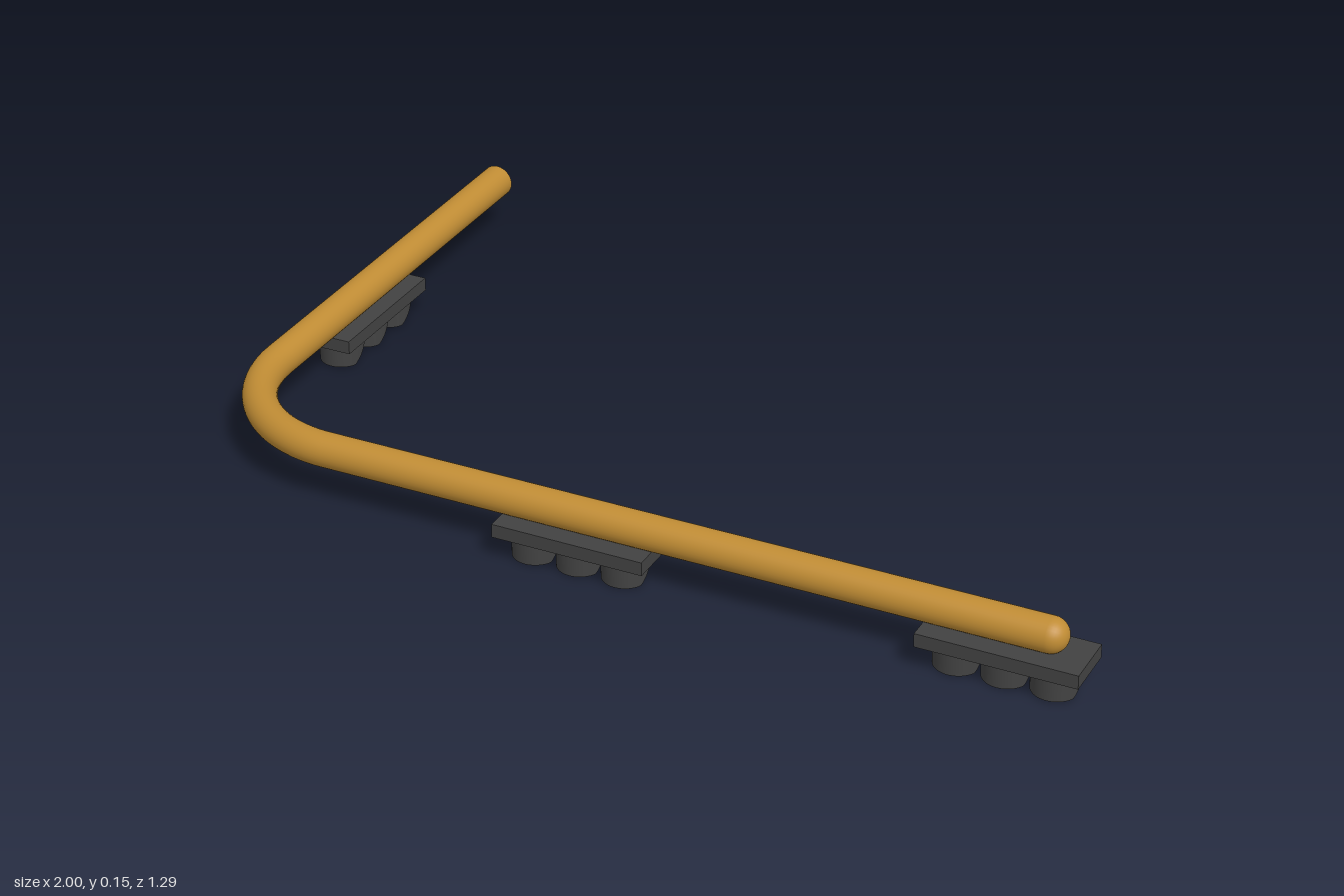
import * as THREE from 'three';

const mat = (name, color, side = THREE.FrontSide) => {
  const m = new THREE.MeshStandardMaterial({ color, side });
  m.name = name;
  return m;
};

const PIPE_Y = 0.114, PIPE_R = 0.037;
const LENS_R = 0.049, SPACING = 0.1;

function add(parent, name, geometry, material, x = 0, y = 0, z = 0) {
  const mesh = new THREE.Mesh(geometry, material);
  mesh.name = name;
  mesh.position.set(x, y, z);
  parent.add(mesh);
  return mesh;
}

// Hood: part of a cylinder wall, deep on the +z side and cut on a slant
function hoodGeometry() {
  const sweep = (Math.PI * 2) / 3;
  const geo = new THREE.CylinderGeometry(LENS_R, LENS_R, 1, 40, 1, true, -sweep, sweep * 2);
  const p = geo.attributes.position;
  for (let i = 0; i < p.count; i++) {
    const cut = THREE.MathUtils.clamp((0.021 - p.getZ(i)) * 0.93, 0, 0.046);
    p.setY(i, p.getY(i) > 0 ? 0.052 : cut);
  }
  return geo;
}

export function createModel() {
  const model = new THREE.Group();
  model.name = 'trafficSignalArm';

  const ochre = mat('ochrePaint', 0xc08c34);
  const charcoal = mat('charcoalHousing', 0x424242);
  const hoodMat = mat('charcoalHood', 0x424242, THREE.DoubleSide);
  const red = mat('redLens', 0xa83a3a);
  const yellow = mat('yellowLens', 0xb9b044);
  const green = mat('greenLens', 0x45b59c);

  // Bent pipe: straight, quarter bend, straight
  const v = (x, z) => new THREE.Vector3(x, PIPE_Y, z);
  const px = -0.944, pz = 0.581, bend = 0.285, k = bend * 0.4477;
  const path = new THREE.CurvePath();
  path.add(new THREE.LineCurve3(v(px, -0.65), v(px, pz - bend)));
  path.add(new THREE.CubicBezierCurve3(v(px, pz - bend), v(px, pz - k), v(px + k, pz), v(px + bend, pz)));
  path.add(new THREE.LineCurve3(v(px + bend, pz), v(0.918, pz)));
  add(model, 'pipe', new THREE.TubeGeometry(path, 170, PIPE_R, 32), ochre);

  // Flat cap at the back end, dome at the free end
  add(model, 'pipeEndCap', new THREE.CircleGeometry(PIPE_R, 32), ochre, px, PIPE_Y, -0.65).rotation.y = Math.PI;
  const dome = new THREE.SphereGeometry(PIPE_R, 32, 10, 0, Math.PI * 2, 0, Math.PI / 2);
  add(model, 'pipeDome', dome, ochre, 0.918, PIPE_Y, pz).rotation.z = -Math.PI / 2;

  // Signal heads: back plate with three hooded lenses
  const hood = hoodGeometry();
  const lens = new THREE.CylinderGeometry(LENS_R - 0.001, LENS_R - 0.003, 0.012, 40);
  function signal(name, x, z, dx, dz) {
    const head = new THREE.Group();
    head.name = name;
    head.position.set(x, 0, z);
    model.add(head);
    const w = dx ? 0.333 : 0.116, d = dz ? 0.329 : 0.12;
    add(head, 'backPlate', new THREE.BoxGeometry(w, 0.03, d), charcoal, 0, 0.066, 0);
    [red, yellow, green].forEach((m, i) => {
      const s = (i - 1) * SPACING;
      add(head, m.name, lens, m, s * dx, 0.047, s * dz);
      add(head, 'hood', hood, hoodMat, s * dx, 0, s * dz);
    });
  }
  signal('middleSignal', -0.077, 0.583, 1, 0);
  signal('endSignal', 0.833, 0.583, 1, 0);
  signal('sideSignal', -0.943, -0.046, 0, -1);

  return model;
}
